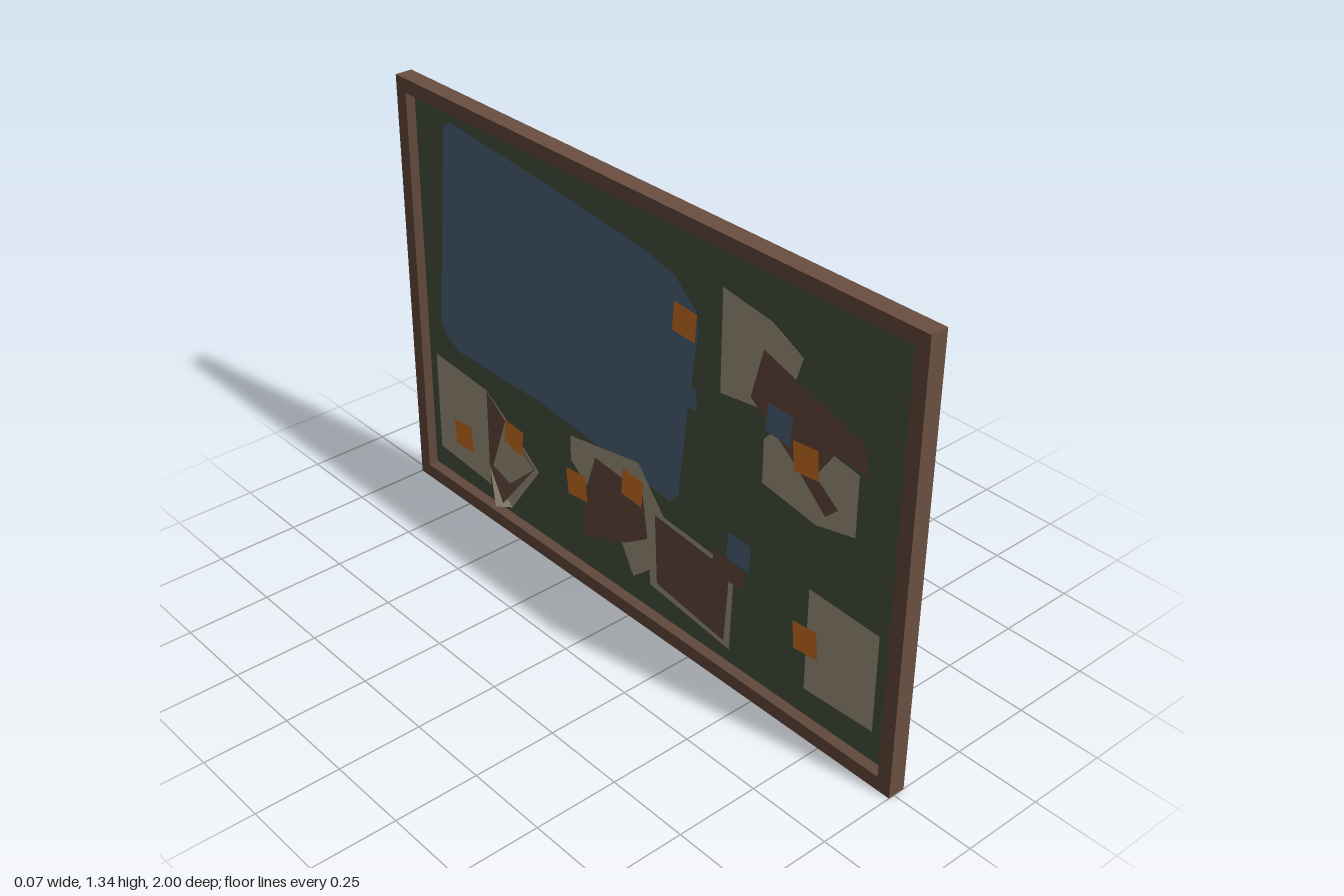
import * as THREE from 'three';

const H = 1.335;        // board height
const PANEL_X = 0.005;  // depth of the recessed panel

const mat = (name, color) => {
  const m = new THREE.MeshStandardMaterial({ color, side: THREE.DoubleSide });
  m.name = name;
  return m;
};

// Sweeps an open profile of [inset, x] points round the board's rectangle
function frameGeometry(profile) {
  const corner = ([inset, x], k) => [
    x,
    k % 4 < 2 ? inset : H - inset,
    (k % 4 === 1 || k % 4 === 2 ? 1 : -1) * (1 - inset),
  ];
  const pos = [];
  for (let j = 0; j < profile.length - 1; j++) {
    for (let k = 0; k < 4; k++) {
      const a = corner(profile[j], k), b = corner(profile[j], k + 1);
      const c = corner(profile[j + 1], k + 1), d = corner(profile[j + 1], k);
      pos.push(...a, ...b, ...c, ...a, ...c, ...d);
    }
  }
  const g = new THREE.BufferGeometry();
  g.setAttribute('position', new THREE.Float32BufferAttribute(pos, 3));
  g.computeVertexNormals();
  return g;
}

// Flat sheet from [z, y, lift] points, facing -x; lift bends a corner off the board
function sheetGeometry(points, layer) {
  const g = new THREE.ShapeGeometry(new THREE.Shape(points.map(([z, y]) => new THREE.Vector2(z, y))));
  const p = g.attributes.position;
  for (let i = 0; i < p.count; i++) {
    const hit = points.find(([z, y]) => Math.hypot(z - p.getX(i), y - p.getY(i)) < 1e-4);
    p.setZ(i, hit && hit[2] ? hit[2] : 0);
  }
  g.rotateY(-Math.PI / 2);
  g.translate(PANEL_X - 0.002 - 0.0015 * layer, 0, 0);
  const flat = g.toNonIndexed();
  flat.computeVertexNormals();
  return flat;
}

export function createModel() {
  const wood = mat('brown', 0x6a4f41);
  const green = mat('boardGreen', 0x4a5741);
  const cream = mat('paperCream', 0xa99c86);
  const blue = mat('posterBlue', 0x50677f);
  const orange = mat('noteOrange', 0xd57522);

  const model = new THREE.Group();
  model.name = 'noticeBoard';
  const add = (name, geometry, material) => {
    const m = new THREE.Mesh(geometry, material);
    m.name = name;
    model.add(m);
    return m;
  };

  // Open-backed frame with a sloping inner lip
  add('frame', frameGeometry([[0, 0.036], [0, -0.018], [0.043, -0.018], [0.056, PANEL_X]]), wood);

  // Panel
  const panel = add('panel', new THREE.BoxGeometry(0.002, H - 0.108, 2 - 0.108), green);
  panel.position.set(PANEL_X, H / 2, 0);

  // Large sheet with worn, rounded corners
  add('poster', sheetGeometry([
    [-0.81, 1.233], [-0.78, 1.254], [-0.32, 1.212], [0.04, 1.171], [0.155, 1.144],
    [0.235, 1.074], [0.245, 1.023], [0.21, 0.768], [0.18, 0.495], [0.145, 0.458],
    [-0.23, 0.5], [-0.405, 0.517], [-0.79, 0.517], [-0.85, 0.546], [-0.875, 0.59],
  ], 1), blue);

  // Papers: [name, material, layer, outline]
  const papers = [
    ['upperPaper', cream, 1, [[0.33, 1.18], [0.5, 1.155], [0.57, 1.165, 0.037], [0.61, 1.1], [0.55, 0.91], [0.33, 0.88]]],
    ['upperScrap', cream, 1.5, [[0.49, 0.82], [0.49, 0.69], [0.68, 0.66], [0.81, 0.69], [0.81, 0.87], [0.57, 0.91]]],
    ['upperBrownScrap', wood, 2.5, [[0.48, 1.07], [0.82, 0.96], [0.84, 0.88], [0.73, 0.89], [0.67, 0.8], [0.75, 0.74], [0.71, 0.7], [0.6, 0.8], [0.44, 0.92]]],
    ['sidePaper', cream, 1, [[0.67, 0.46], [0.91, 0.45], [0.91, 0.15], [0.67, 0.14]]],
    ['middlePaper', cream, 1, [[0.05, 0.4], [0.4, 0.37], [0.39, 0.1], [0.07, 0.14]]],
    ['middleBrownPaper', wood, 2.5, [[0.09, 0.385], [0.385, 0.355], [0.37, 0.12], [0.1, 0.16]]],
    ['brownStrip', wood, 2, [[0.32, 0.4], [0.45, 0.38], [0.43, 0.32], [0.32, 0.33]]],
    ['tornPaper', cream, 2, [[-0.27, 0.47], [0.02, 0.52], [0.13, 0.39], [0.06, 0.3], [0.08, 0.2], [0, 0.13], [-0.05, 0.22], [-0.27, 0.39]]],
    ['tornBrownPaper', wood, 3, [[-0.16, 0.45], [0.04, 0.43], [0.06, 0.29], [-0.03, 0.23], [-0.21, 0.16], [-0.2, 0.33]]],
    ['lowerPaper', cream, 1, [[-0.91, 0.46], [-0.66, 0.44], [-0.66, 0.11], [-0.91, 0.13]]],
    ['curledPaper', cream, 1.5, [[-0.66, 0.44], [-0.58, 0.39], [-0.42, 0.27], [-0.53, 0.1, 0.02], [-0.59, 0.08, 0.037], [-0.66, 0.17]]],
    ['curledBrownPaper', wood, 2.5, [[-0.66, 0.44], [-0.58, 0.38], [-0.44, 0.27], [-0.56, 0.105, 0.03], [-0.66, 0.18]]],
  ];
  for (const [name, material, layer, outline] of papers) add(name, sheetGeometry(outline, layer), material);

  // Sticky notes: [material, z, y, size]
  const notes = [
    [blue, 0.545, 0.89, 0.085], [orange, 0.64, 0.83, 0.085], [orange, 0.2, 1.03, 0.085],
    [blue, 0.22, 0.82, 0.06], [blue, 0.42, 0.44, 0.085], [orange, 0.67, 0.3, 0.085],
    [orange, 0, 0.43, 0.085], [orange, -0.24, 0.32, 0.085], [orange, -0.53, 0.34, 0.085],
    [orange, -0.78, 0.23, 0.085],
  ];
  notes.forEach(([material, z, y, size], i) => {
    const tilt = i % 2 ? 0.1 : -0.08;
    const outline = [[-1, -1], [1, -1], [1, 1], [-1, 1]].map(([a, b]) => [
      z + (size / 2) * (a * Math.cos(tilt) - b * Math.sin(tilt)),
      y + (size / 2) * (a * Math.sin(tilt) + b * Math.cos(tilt)),
    ]);
    add('note' + (i + 1), sheetGeometry(outline, 5), material);
  });

  return model;
}
